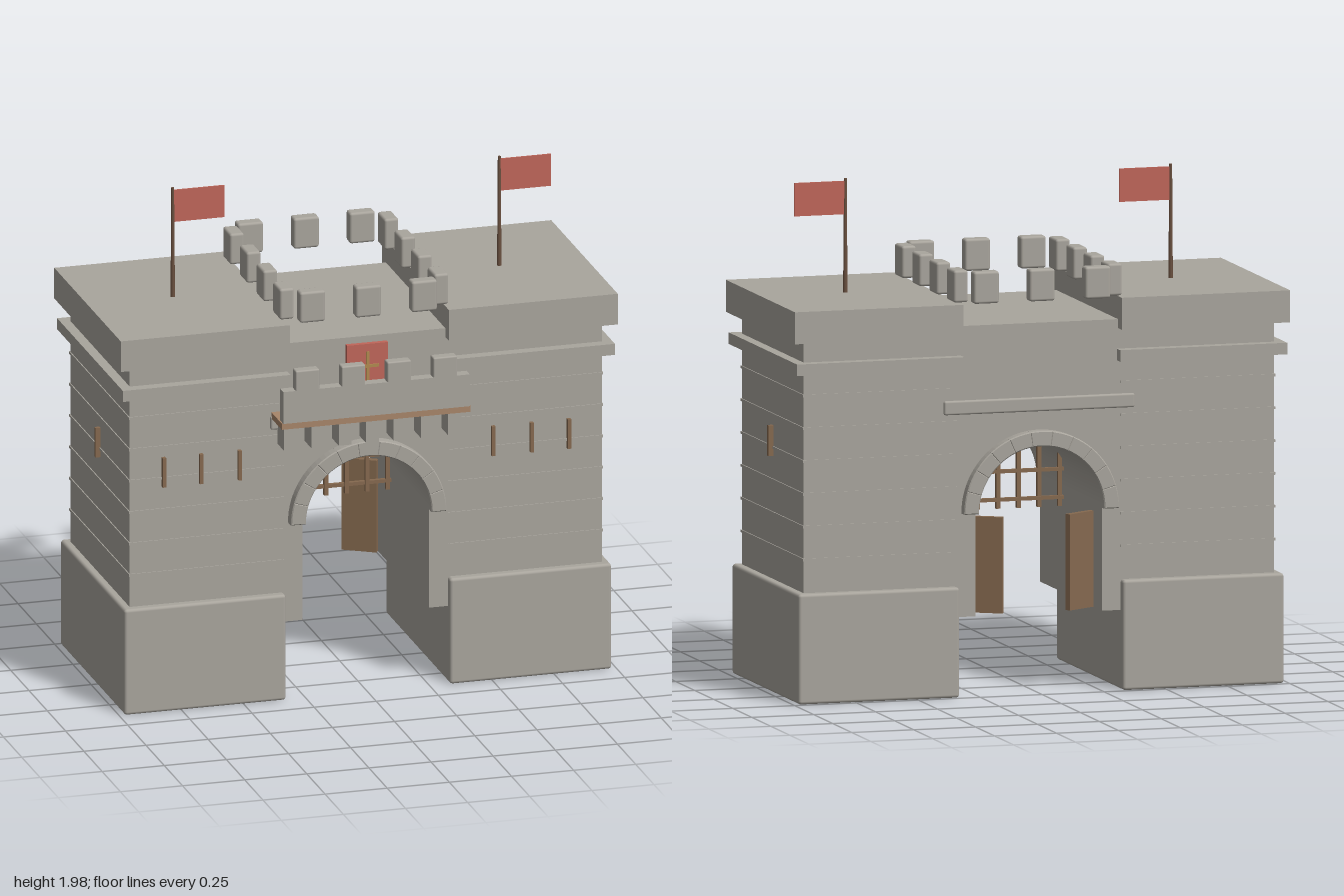
import * as THREE from 'three';
import { RoundedBoxGeometry } from 'three/addons/geometries/RoundedBoxGeometry.js';

const mat = (name, color, side = THREE.FrontSide) => {
  const m = new THREE.MeshStandardMaterial({ color, side });
  m.name = name;
  return m;
};

export function createModel() {
  const root = new THREE.Group();
  root.name = 'castleGatehouse';
  const stone = mat('stone', 0xa9a59d);
  const plank = mat('plankWood', 0xa8866a);
  const wood = mat('darkWood', 0x85694f);
  const pole = mat('poleWood', 0x6b5140);
  const red = mat('redCloth', 0xc0665a, THREE.DoubleSide);
  const gold = mat('gold', 0xb08a50);

  const add = (name, geo, m, parent = root) => {
    const mesh = new THREE.Mesh(geo, m);
    mesh.name = name;
    parent.add(mesh);
    return mesh;
  };
  // box from its limits; r > 0 rounds the edges
  const box = (name, x0, x1, y0, y1, z0, z1, m = stone, r = 0) => {
    const s = [x1 - x0, y1 - y0, z1 - z0];
    const geo = r ? new RoundedBoxGeometry(...s, 2, r) : new THREE.BoxGeometry(...s);
    const mesh = add(name, geo, m);
    mesh.position.set((x0 + x1) / 2, (y0 + y1) / 2, (z0 + z1) / 2);
    return mesh;
  };
  // the same box on both sides of the gate
  const pair = (name, x0, x1, ...rest) => {
    box(name, x0, x1, ...rest);
    box(name, -x1, -x0, ...rest);
  };

  const zF = 0.357, zB = -0.455, zMid = -0.05;
  const spring = 0.715, rIn = 0.255, rOut = 0.313;

  // Towers: plinth, shaft, string course, cap
  pair('towerPlinth', 0.33, 0.98, 0, 0.43, -0.49, 0.39, stone, 0.012);
  pair('towerShaft', 0.33, 0.95, 0.4, 1.42, zB, zF);
  pair('stringCourse', 0.315, 0.99, 1.285, 1.33, -0.5, 0.4);
  pair('towerCap', 0.32, 1.0, 1.41, 1.535, -0.505, 0.405);
  for (let i = 0; i < 6; i++) {
    const y = 0.56 + i * 0.128;
    pair('courseLine', 0.33, 0.954, y - 0.005, y + 0.005, zB - 0.004, zF + 0.004);
  }

  // Arrow slits
  for (const x of [0.51, 0.665, 0.815])
    pair('arrowSlit', x - 0.007, x + 0.007, 0.91, 1.03, zF - 0.01, zF + 0.018, wood);
  pair('sideSlit', 0.94, 0.97, 0.91, 1.03, zMid - 0.008, zMid + 0.008, wood);

  // Gate wall with an arched passage
  const wall = new THREE.Shape();
  wall.moveTo(-0.33, 0.31);
  wall.lineTo(-rIn, 0.31);
  wall.lineTo(-rIn, spring);
  wall.absarc(0, spring, rIn, Math.PI, 0, true);
  wall.lineTo(rIn, 0.31);
  wall.lineTo(0.33, 0.31);
  wall.lineTo(0.33, 1.445);
  wall.lineTo(-0.33, 1.445);
  wall.closePath();
  const gateGeo = new THREE.ExtrudeGeometry(wall, { depth: zF - zB, bevelEnabled: false, curveSegments: 24 });
  add('gateWall', gateGeo, stone).position.z = zB;

  // Arch stones, front and back
  const count = 11, step = Math.PI / count, gap = 0.008;
  for (let i = 0; i < count; i++) {
    const a = i * step + gap, b = (i + 1) * step - gap;
    const s = new THREE.Shape();
    s.absarc(0, 0, rOut - 0.004, a, b, false);
    s.absarc(0, 0, rIn + 0.002, b, a, true);
    s.closePath();
    const geo = new THREE.ExtrudeGeometry(s, {
      depth: 0.04, curveSegments: 2, bevelSize: 0.004, bevelThickness: 0.004, bevelSegments: 1,
    });
    for (const z of [zF, zB - 0.037]) add('archStone', geo, stone).position.set(0, spring, z);
  }

  // Ledge above the arch, running through the wall
  box('archLedge', -0.385, 0.385, 1.1, 1.155, zB - 0.012, zF + 0.012, stone, 0.008);

  // Fighting gallery: corbels, floor, parapet, merlons
  for (let i = -3; i <= 3; i++)
    box('corbel', i * 0.11 - 0.026, i * 0.11 + 0.026, 1.04, 1.145, zF - 0.01, 0.45);
  box('galleryFloor', -0.38, 0.38, 1.145, 1.17, zF - 0.005, 0.5, plank);
  box('galleryParapet', -0.375, 0.375, 1.17, 1.3, 0.46, 0.505);
  for (const x of [-0.277, -0.092, 0.092, 0.277])
    box('galleryMerlon', x - 0.048, x + 0.048, 1.29, 1.38, 0.46, 0.505, stone, 0.006);

  // Shield with a cross
  const sh = new THREE.Shape();
  sh.moveTo(-0.083, 1.42);
  sh.lineTo(-0.083, 1.3);
  sh.quadraticCurveTo(-0.07, 1.25, 0, 1.22);
  sh.quadraticCurveTo(0.07, 1.25, 0.083, 1.3);
  sh.lineTo(0.083, 1.42);
  sh.closePath();
  add('shield', new THREE.ExtrudeGeometry(sh, { depth: 0.02, bevelEnabled: false }), red).position.z = zF + 0.005;
  box('shieldCrossUpright', -0.006, 0.006, 1.26, 1.39, 0.381, 0.387, gold);
  box('shieldCrossBar', -0.045, 0.045, 1.325, 1.337, 0.381, 0.387, gold);

  // Roof merlons in a ring over the gate
  const merlon = (x, z, w, d) =>
    box('roofMerlon', x - w / 2, x + w / 2, 1.535, 1.66, z - d / 2, z + d / 2, stone, 0.01);
  for (const x of [-0.225, 0, 0.225])
    for (const z of [0.372, -0.477]) merlon(x, z, 0.102, 0.054);
  for (const z of [0.287, 0.061, -0.167, -0.395])
    for (const x of [-0.311, 0.311]) merlon(x, z, 0.057, 0.103);

  // Portcullis
  for (let i = 0; i < 6; i++) {
    const x = -0.2075 + i * 0.083;
    const top = spring + Math.sqrt(rIn * rIn - x * x) + 0.01;
    box('portcullisBar', x - 0.008, x + 0.008, 0.665, top, zMid - 0.008, zMid + 0.008, wood);
  }
  for (const y of [0.7, 0.81, 0.93]) {
    const w = y > 0.9 ? 0.15 : 0.222;
    box('portcullisRail', -w, w, y - 0.007, y + 0.007, zMid - 0.012, zMid + 0.004, wood);
  }

  // Door leaves, swung inward from hinges on the passage walls
  for (const s of [-1, 1]) {
    const hinge = new THREE.Group();
    hinge.name = s < 0 ? 'rightDoor' : 'leftDoor';
    hinge.position.set(s * 0.25, 0.498, -0.335);
    hinge.rotation.y = -s * 0.55;
    root.add(hinge);
    const leaf = add('doorLeaf', new THREE.BoxGeometry(0.14, 0.375, 0.024), wood, hinge);
    leaf.position.x = -s * 0.07;
  }

  // Flags, both flying toward +x
  for (const x of [-0.657, 0.657]) {
    const p = add('flagPole', new THREE.CylinderGeometry(0.006, 0.009, 0.45, 8), pole);
    p.position.set(x, 1.755, zMid);
    box('flag', x + 0.004, x + 0.207, 1.84, 1.97, zMid - 0.003, zMid + 0.003, red);
  }
  return root;
}
